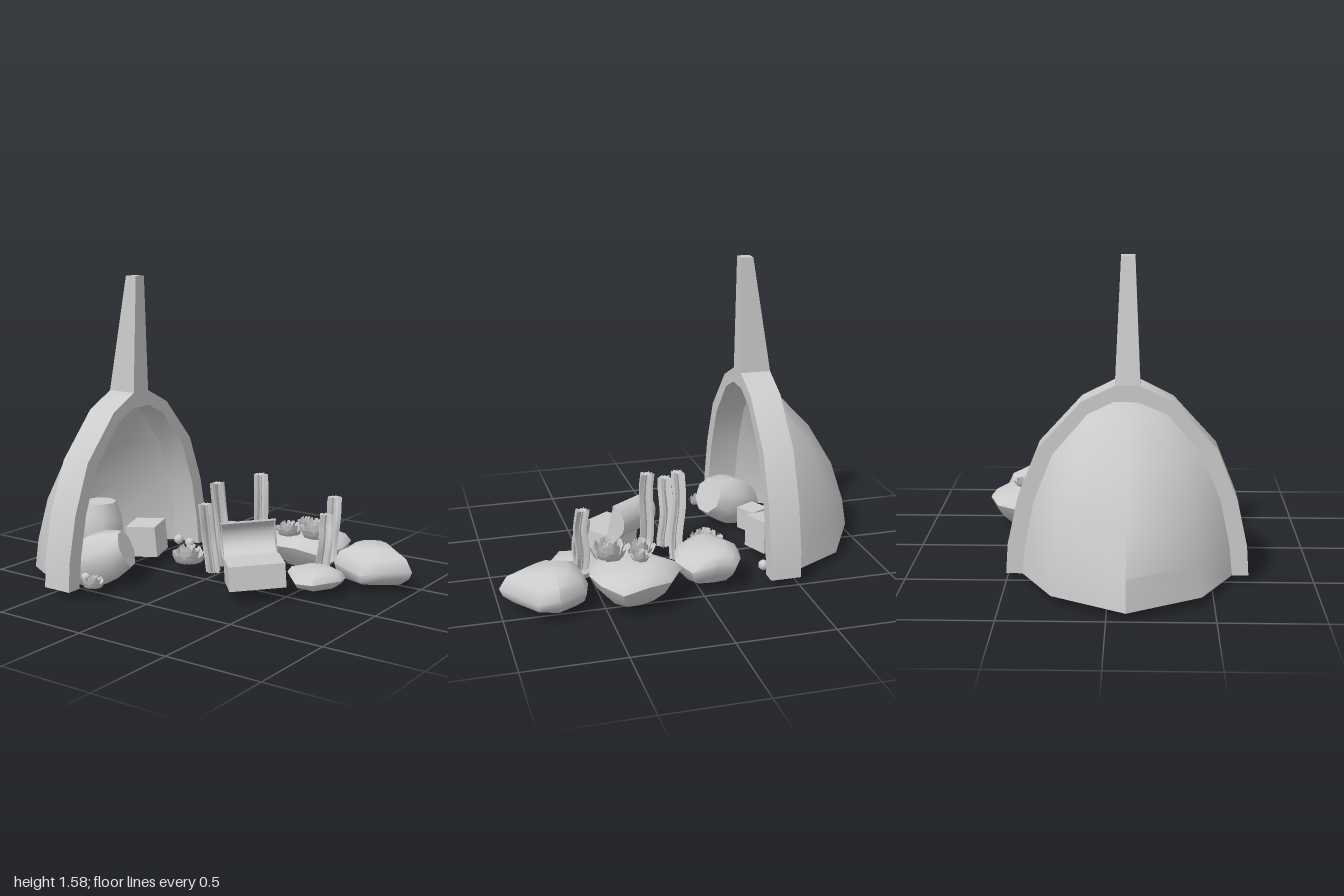
import * as THREE from 'three';
import { toCreasedNormals } from 'three/addons/utils/BufferGeometryUtils.js';

const grey = new THREE.MeshStandardMaterial({ color: 0xcccccc, side: THREE.DoubleSide });
const CZ = 0.09; // centre line of the wreck

export function createModel() {
  const model = new THREE.Group();

  function add(name, geometry, x = 0, y = 0, z = 0, parent = model) {
    const mesh = new THREE.Mesh(geometry, grey);
    mesh.name = name;
    mesh.position.set(x, y, z);
    parent.add(mesh);
    return mesh;
  }

  // Surface through equal-length rows of points
  function loft(rows, closed, crease) {
    const n = rows[0].length, index = [];
    for (let i = 0; i < rows.length - 1; i++) {
      for (let j = 0; j < (closed ? n : n - 1); j++) {
        const a = i * n + j, b = i * n + (j + 1) % n;
        index.push(a, a + n, b, b, a + n, b + n);
      }
    }
    const g = new THREE.BufferGeometry();
    g.setAttribute('position', new THREE.Float32BufferAttribute(rows.flat(2), 3));
    g.setIndex(index);
    g.computeVertexNormals();
    return crease ? toCreasedNormals(g, crease) : g;
  }

  // Arch frame: half-widths and heights, mirrored
  const outer = [[0.59, 0.05], [0.58, 0.2], [0.53, 0.43], [0.43, 0.68], [0.22, 0.91], [0.06, 0.99]];
  const inner = [[0.51, 0.05], [0.495, 0.2], [0.45, 0.42], [0.36, 0.65], [0.19, 0.85], [0.065, 0.91]];
  const flip = (pts) => pts.map(([w, y]) => [-w, y]).reverse();
  const outline = [...outer, ...flip(outer), ...inner.map(([w, y]) => [-w, y]), ...[...inner].reverse()];
  const archShape = new THREE.Shape(outline.map(([w, y]) => new THREE.Vector2(w, y)));
  const arch = new THREE.ExtrudeGeometry(archShape, { depth: 0.16, bevelEnabled: false });
  add('archFrame', toCreasedNormals(arch.rotateY(Math.PI / 2), 0.7), -0.51, 0, CZ);

  // Tapered spar above the arch, upright on its open side
  const spar = new THREE.BoxGeometry(0.16, 0.6, 0.12);
  const sp = spar.attributes.position;
  for (let i = 0; i < sp.count; i++) {
    if (sp.getY(i) > 0) {
      sp.setZ(i, sp.getZ(i) * 0.56);
      if (sp.getX(i) < 0) sp.setX(i, 0.015);
    }
  }
  spar.computeVertexNormals();
  add('spar', spar, -0.43, 1.29, CZ);

  // Hull behind the arch, open below: outer skin, inner lining and the rim between
  const depths = [0.49, 0.465, 0.39, 0.25, 0.06, 0];
  const skin = (k) => inner.map(([w, y], i) =>
    [[0, -1], [0.59, -0.69], [1, 0], [0.59, 0.69], [0, 1]].map(([d, s]) =>
      [-0.51 - d * k * depths[i], y, CZ + s * w * (d ? k : 1)]));
  const outside = skin(1), lining = skin(0.92);
  add('hull', loft(outside, false, 0.95));
  add('hullLining', loft(lining, false, 0.95));
  add('hullRim', loft([outside[0], lining[0]], false));

  // Barrels
  const staves = [[0, -0.15], [0.1, -0.15], [0.13, -0.07], [0.14, 0], [0.13, 0.07], [0.1, 0.15], [0, 0.15]];
  const barrel = toCreasedNormals(
    new THREE.LatheGeometry(staves.map(([r, y]) => new THREE.Vector2(r, y)), 8), 0.85);
  add('tippedBarrel', barrel, -0.395, 0.152, 0.38).quaternion.setFromUnitVectors(
    new THREE.Vector3(0, 1, 0), new THREE.Vector3(0.85, 0.37, -0.36).normalize());
  add('standingBarrel', barrel, -0.64, 0.205, 0.09).scale.set(0.87, 1.03, 0.87);

  // Crates and loose balls
  add('crate', new THREE.BoxGeometry(0.17, 0.17, 0.17), -0.47, 0.14, -0.1).rotation.set(0.06, 0.3, 0.05);
  add('smallCrate', new THREE.BoxGeometry(0.12, 0.12, 0.12), -0.48, 0.11, 0.18).rotation.y = 0.5;
  for (const [x, y, z] of [[-0.36, 0.07, -0.35], [-0.43, 0.08, -0.34], [-0.39, 0.08, 0.5]])
    add('ball', new THREE.SphereGeometry(0.027, 10, 8), x, y, z);

  // Open chest: base box and rounded lid swung back
  const chest = new THREE.Group();
  chest.name = 'chest';
  chest.position.set(0.37, 0.14, 0.095);
  chest.rotation.set(-0.04, 0.72, 0.055, 'YXZ');
  model.add(chest);
  add('chestBase', new THREE.BoxGeometry(0.285, 0.125, 0.205), 0, 0, 0, chest);
  const lid = new THREE.Group();
  lid.name = 'chestLid';
  lid.position.set(0, 0.0625, -0.105);
  lid.rotation.x = -0.18;
  chest.add(lid);
  const lidShape = new THREE.Shape().absarc(0, 0, 0.095, Math.PI / 2, Math.PI * 1.5, false);
  lidShape.lineTo(0, -0.085);
  lidShape.absarc(0, 0, 0.085, Math.PI * 1.5, Math.PI / 2, true);
  const lidBand = toCreasedNormals(new THREE.ExtrudeGeometry(lidShape,
    { depth: 0.285, bevelEnabled: false, curveSegments: 8 }), 0.6);
  add('lidShell', lidBand.rotateY(-Math.PI / 2), 0.1425, 0.08, 0, lid);
  const lidEnd = new THREE.CircleGeometry(0.09, 8, Math.PI / 2, Math.PI).rotateY(-Math.PI / 2);
  for (const s of [-1, 1]) add('lidEnd', lidEnd, s * 0.138, 0.08, 0, lid);

  // Rocks: plan outline (x, z), widest at the waist (a fraction of the height), foot is the base scale
  function rock(plan, top, waist, foot) {
    const cx = plan.reduce((s, p) => s + p[0], 0) / plan.length;
    const cz = plan.reduce((s, p) => s + p[1], 0) / plan.length;
    const levels = [[0, 0], [0, foot], [waist * 0.45, 0.4 + foot * 0.6 + 0.1], [waist, 1],
      [waist + (1 - waist) * 0.6, 0.85], [1, 0.5], [1.02, 0]];
    const rows = levels.map(([h, k], i) => plan.map(([x, z], j) => [
      cx + (x - cx) * k,
      0.05 + (top - 0.05) * (h + (i > 1 && i < 5 ? 0.08 * Math.sin(j * 2.3) : 0)),
      cz + (z - cz) * k]));
    add('rock', loft(rows, true, 0.9));
  }
  rock([[-0.17, -0.49], [-0.06, -0.5], [0.06, -0.49], [0.12, -0.39], [0.09, -0.25], [-0.04, -0.1],
    [-0.13, -0.15], [-0.24, -0.3], [-0.22, -0.4]], 0.22, 0.6, 0.62);
  rock([[0.2, -0.62], [0.32, -0.67], [0.45, -0.68], [0.54, -0.59], [0.57, -0.45], [0.53, -0.29],
    [0.38, -0.26], [0.22, -0.3], [0.1, -0.45]], 0.23, 0.65, 0.55);
  rock([[0.6, -0.54], [0.74, -0.62], [0.84, -0.58], [1, -0.39], [0.88, -0.29], [0.78, -0.24],
    [0.6, -0.3], [0.57, -0.42]], 0.225, 0.4, 0.72);
  rock([[0.46, -0.23], [0.56, -0.28], [0.7, -0.25], [0.73, -0.14], [0.65, 0], [0.55, 0],
    [0.43, -0.12]], 0.145, 0.45, 0.66);

  // Anemones: rings of cupped petals, alternately near and far, round a bud
  function anemone(x, y, z, size) {
    const flower = new THREE.Group();
    flower.name = 'anemone';
    flower.position.set(x, y, z);
    flower.scale.setScalar(size);
    model.add(flower);
    [[1, 0.6, 0], [0.74, 0.85, 0.4], [0.46, 1, 0.15]].forEach(([r, h, turn]) => {
      for (let i = 0; i < 8; i++) {
        const a = turn + i * Math.PI / 4, far = r * (i % 2 ? 0.86 : 1);
        const rows = [[0.35, 0, 0.3], [0.8, 0.25, 0.46], [0.92, 0.7, 0.44], [1.02, 1, 0.2]].map(([k, v, half]) =>
          [-1, 0, 1].map((s) => [
            Math.cos(a + s * half) * far * k, h * v, Math.sin(a + s * half) * far * k]));
        add('petal', loft(rows, false), 0, 0, 0, flower);
      }
    });
    add('bud', new THREE.SphereGeometry(0.2, 8, 6), 0, 0.6, 0, flower);
  }
  anemone(-0.14, 0.065, -0.04, 0.095);
  anemone(-0.285, 0.06, 0.57, 0.06);
  anemone(0.29, 0.215, -0.36, 0.075);
  anemone(0.45, 0.22, -0.38, 0.1);
  anemone(0.32, 0.24, -0.49, 0.052);

  // Kelp: finned stalks, swaying from base to tip
  function kelp([bx, by, bz], [tx, ty, tz], phase) {
    const rows = [];
    for (let i = 0; i <= 8; i++) {
      const t = i / 8, sway = 0.006 * Math.sin(t * 7 + phase);
      const row = [];
      for (let j = 0; j < 20; j++) {
        const a = j * Math.PI / 10 + phase, r = j % 2 ? 0.018 : 0.04 + 0.007 * Math.sin(j * 1.7);
        row.push([bx + (tx - bx) * t + sway + Math.cos(a) * r * 0.85,
          by + (ty - by) * t,
          bz + (tz - bz) * t + sway + Math.sin(a) * r]);
      }
      rows.push(row);
    }
    const tip = [tx, ty, tz].map((v, k) => v + (k === 1 ? 0 : 0.006 * Math.sin(7 + phase)));
    rows.push(rows[8].map(() => tip));
    add('kelp', loft(rows, true, 0.5));
  }
  kelp([0.045, 0.06, -0.13], [0.02, 0.52, -0.08], 0);
  kelp([0.065, 0.07, 0.02], [0.045, 0.44, 0.065], 1.3);
  kelp([0.23, 0.06, -0.18], [0.21, 0.57, -0.195], 2.1);
  kelp([0.575, 0.14, -0.29], [0.575, 0.47, -0.335], 3.2);
  kelp([0.575, 0.1, -0.22], [0.57, 0.39, -0.275], 4.4);

  return model;
}
